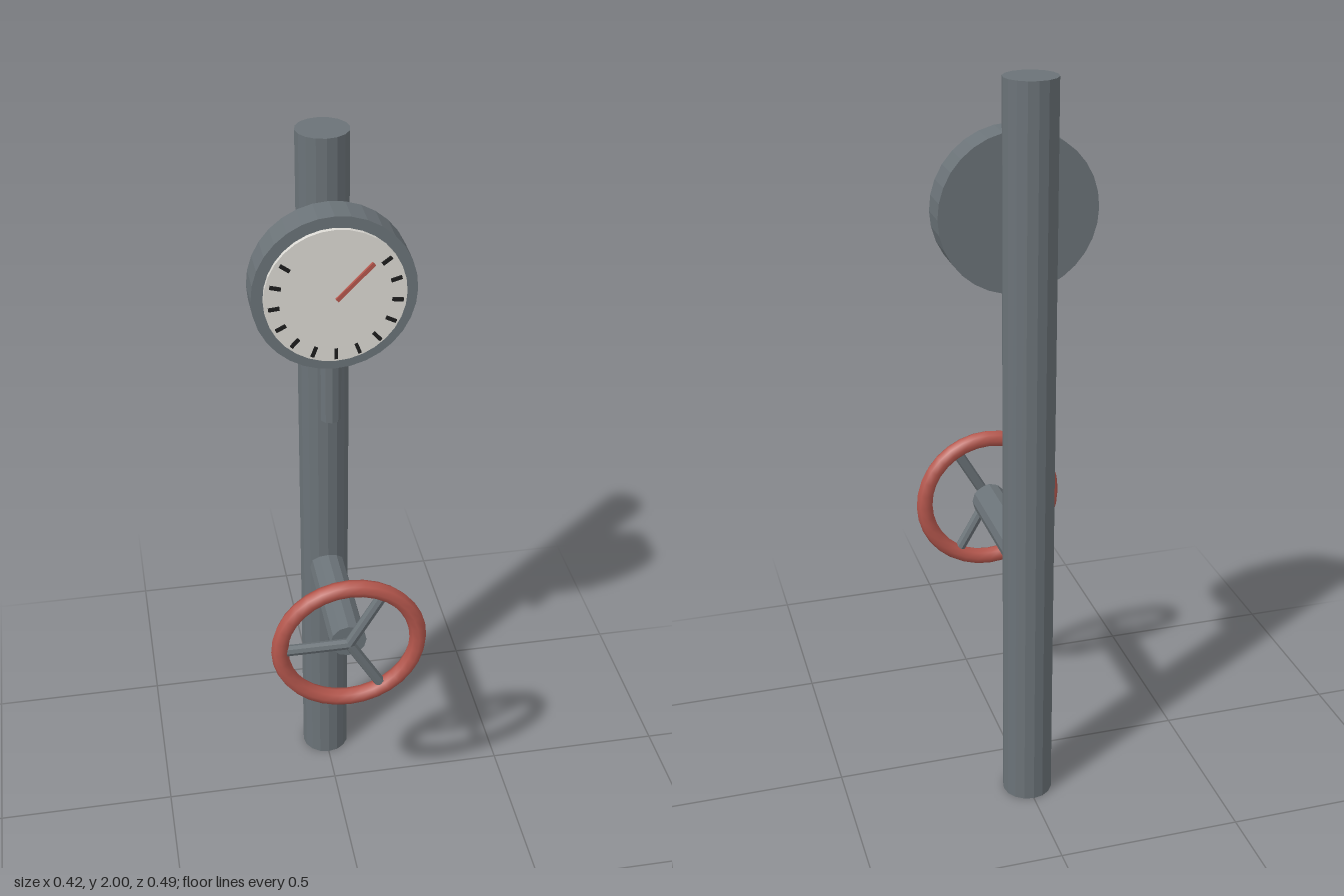
import * as THREE from 'three';

const material = (name, color) => {
  const m = new THREE.MeshStandardMaterial({ color });
  m.name = name;
  return m;
};

export function createModel() {
  const steel = material('grey steel', 0x6b7378);
  const red = material('red paint', 0xb5574d);
  const white = material('dial white', 0xdcdad4);
  const black = material('tick black', 0x1c1c1c);

  const model = new THREE.Group();
  model.name = 'pipeWithGaugeAndValve';

  const add = (parent, name, geometry, mat, x = 0, y = 0, z = 0) => {
    const mesh = new THREE.Mesh(geometry, mat);
    mesh.name = name;
    mesh.position.set(x, y, z);
    parent.add(mesh);
    return mesh;
  };
  // Faceted cylinder, upright or turned to point along z
  const cylinder = (r, length, sides, alongZ = false) => {
    const g = new THREE.CylinderGeometry(r, r, length, sides).toNonIndexed();
    if (alongZ) g.rotateX(Math.PI / 2);
    g.computeVertexNormals();
    return g;
  };

  // Main pipe
  add(model, 'pipe', cylinder(0.068, 2, 16), steel, 0, 1, -0.177);

  // Pressure gauge
  const gauge = new THREE.Group();
  gauge.name = 'gauge';
  gauge.position.y = 1.645;
  model.add(gauge);
  add(gauge, 'gaugeHousing', cylinder(0.207, 0.087, 32, true), steel, 0, 0, -0.0435);
  add(gauge, 'gaugeStem', cylinder(0.028, 0.23, 10), steel, 0, -0.28, -0.067);
  add(gauge, 'dial', cylinder(0.178, 0.012, 32, true), white, 0, 0, 0.006);

  // Radial ticks around the lower part of the dial
  for (let i = 0; i < 13; i++) {
    const a = THREE.MathUtils.degToRad(36 - i * 21);
    const tick = add(gauge, 'tick', new THREE.BoxGeometry(0.028, 0.009, 0.005), black,
      Math.cos(a) * 0.154, Math.sin(a) * 0.154, 0.0185);
    tick.rotation.z = a;
  }

  // Needle pivots at the dial centre
  const needleShape = new THREE.BoxGeometry(0.128, 0.01, 0.007).translate(0.064, 0, 0);
  add(gauge, 'needle', needleShape, red, 0, 0, 0.029).rotation.z = Math.PI / 4;

  // Valve with handwheel
  const valve = new THREE.Group();
  valve.name = 'valve';
  valve.position.y = 0.717;
  model.add(valve);
  add(valve, 'valveShaft', cylinder(0.049, 0.335, 12, true), steel, 0, 0, 0.0425);
  add(valve, 'handwheelRim', new THREE.TorusGeometry(0.187, 0.023, 8, 32), red, 0, 0, 0.22);

  // Three spokes
  for (let i = 0; i < 3; i++) {
    const a = Math.PI / 3 + i * Math.PI * 2 / 3;
    const spoke = add(valve, 'spoke', cylinder(0.015, 0.182, 8), steel,
      Math.cos(a) * 0.091, Math.sin(a) * 0.091, 0.22);
    spoke.rotation.z = a - Math.PI / 2;
  }

  return model;
}
